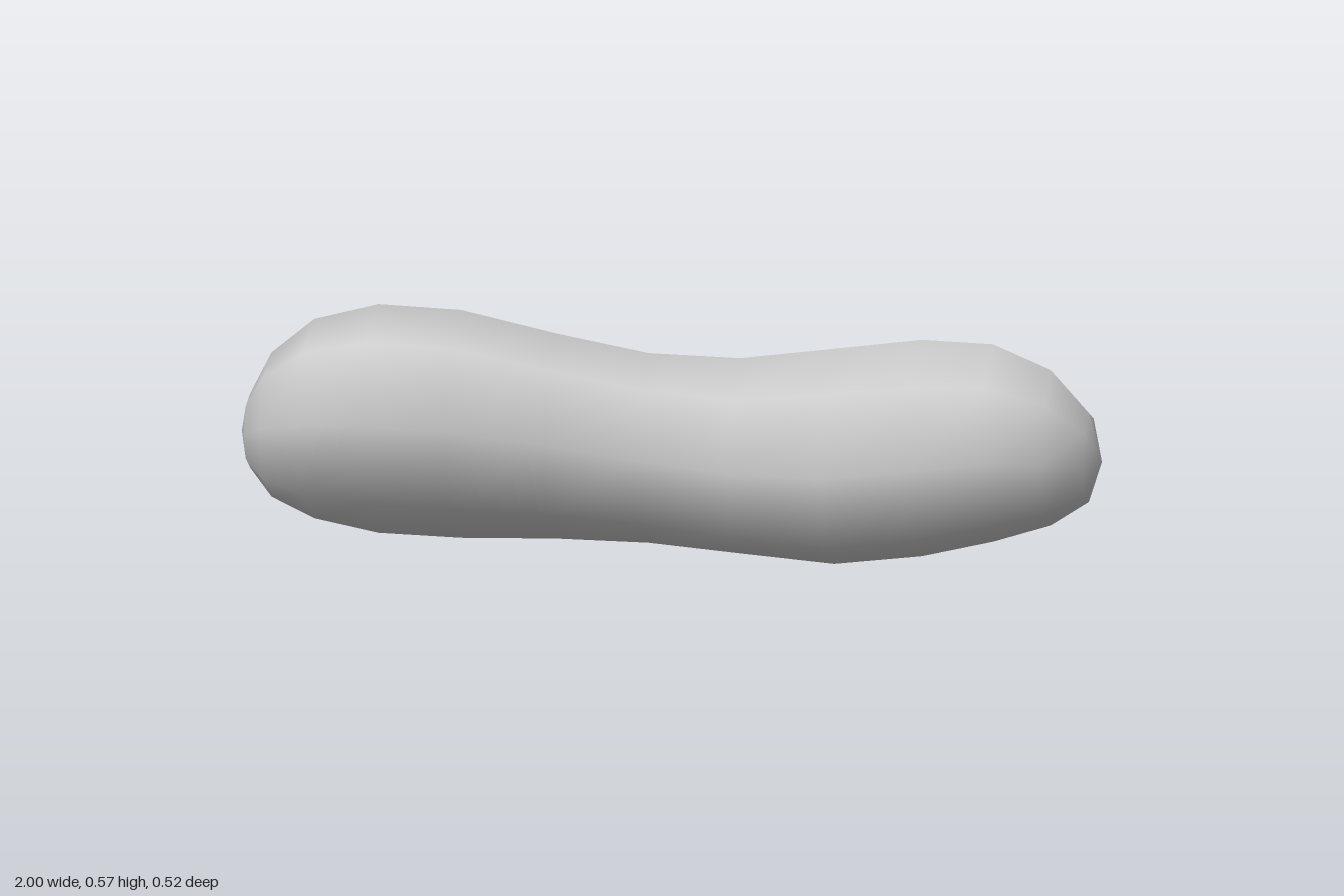
import * as THREE from 'three';

// Cross-sections from right end to left end: x, bottom y, top y, back z, front z
const SECTIONS = [
  [-0.98, 0.175, 0.35, -0.11, 0.07],
  [-0.93, 0.11, 0.45, -0.19, 0.16],
  [-0.83, 0.065, 0.535, -0.245, 0.23],
  [-0.68, 0.038, 0.577, -0.264, 0.258],
  [-0.49, 0.033, 0.57, -0.26, 0.245],
  [-0.27, 0.037, 0.52, -0.235, 0.195],
  [-0.06, 0.033, 0.48, -0.222, 0.16],
  [0.15, 0.015, 0.475, -0.235, 0.16],
  [0.37, 0.003, 0.51, -0.24, 0.195],
  [0.58, 0.04, 0.55, -0.205, 0.24],
  [0.75, 0.09, 0.555, -0.155, 0.259],
  [0.885, 0.135, 0.5, -0.11, 0.22],
  [0.97, 0.19, 0.4, -0.055, 0.14],
];
const SIDES = 8;

export function createModel() {
  const group = new THREE.Group();
  const positions = [];
  const index = [];

  // Octagonal rings, skewed upward at the front towards the right end
  for (const [x, y0, y1, z0, z1] of SECTIONS) {
    const skew = 0.18 * (1 - THREE.MathUtils.smoothstep(x, -0.5, 0.4));
    for (let j = 0; j < SIDES; j++) {
      const a = (j / SIDES) * Math.PI * 2;
      const dz = Math.sin(a) * (z1 - z0) / 2;
      const y = (y0 + y1) / 2 + Math.cos(a) * (y1 - y0) / 2 + skew * dz;
      positions.push(x, y, (z0 + z1) / 2 + dz);
    }
  }

  // Tips of the two rounded ends
  const rings = SECTIONS.length;
  const startTip = rings * SIDES;
  const endTip = startTip + 1;
  positions.push(-1, 0.26, -0.025, 1, 0.285, 0.04);

  for (let j = 0; j < SIDES; j++) {
    const k = (j + 1) % SIDES;
    for (let i = 0; i < rings - 1; i++) {
      const a = i * SIDES + j, b = i * SIDES + k;
      index.push(a, b, a + SIDES, b, b + SIDES, a + SIDES);
    }
    const last = (rings - 1) * SIDES;
    index.push(startTip, k, j, endTip, last + j, last + k);
  }

  const geometry = new THREE.BufferGeometry();
  geometry.setAttribute('position', new THREE.Float32BufferAttribute(positions, 3));
  geometry.setIndex(index);
  geometry.computeVertexNormals();

  const body = new THREE.Mesh(geometry, new THREE.MeshStandardMaterial({ color: 0xcccccc }));
  body.name = 'body';
  group.add(body);
  return group;
}
